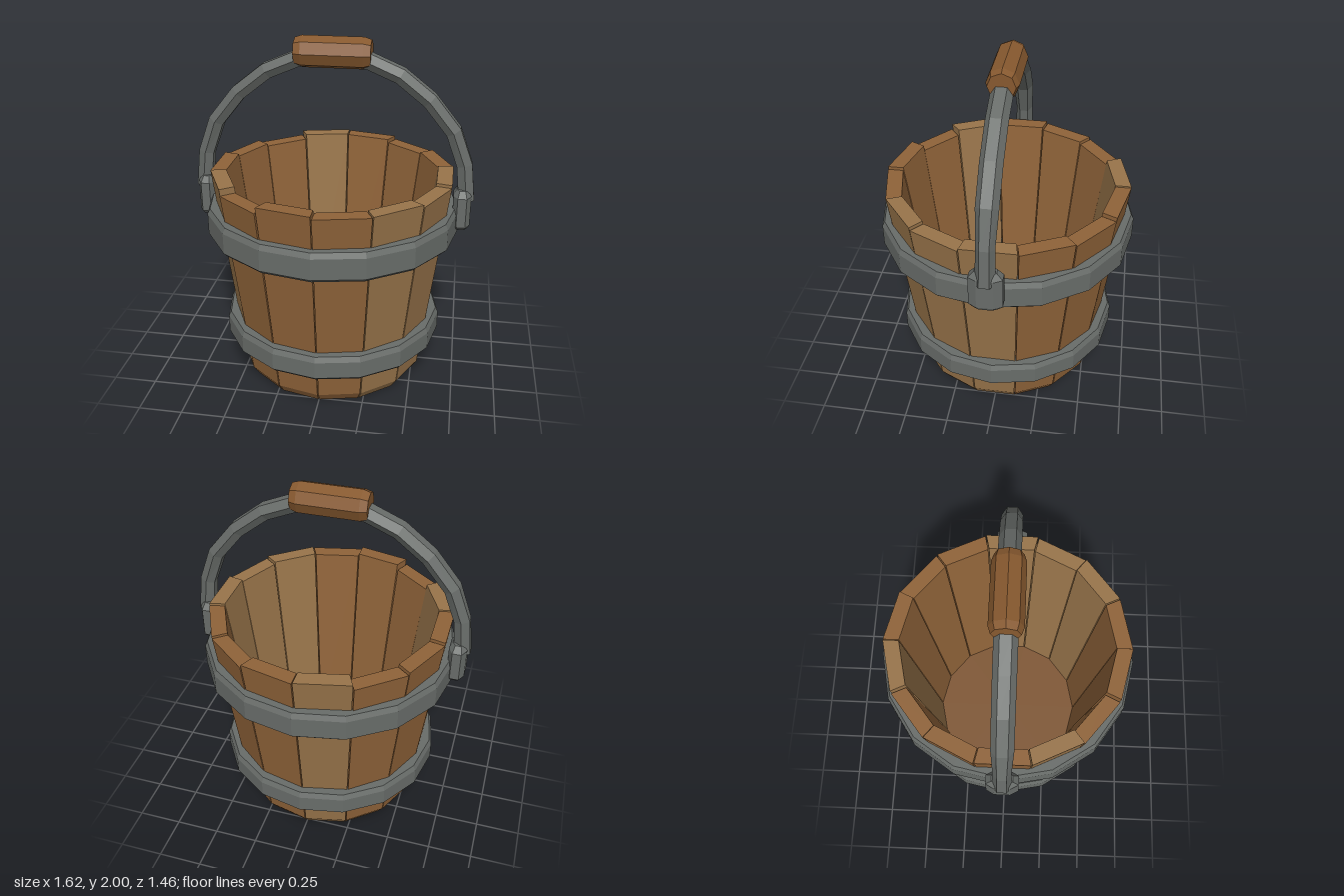
import * as THREE from 'three';

const STAVES = 14;
const mat = (color) => new THREE.MeshStandardMaterial({ color, flatShading: true });

// Skin a list of rings (equal point counts, counter-clockwise about the path) and cap both ends.
function loft(rings) {
  const pos = [];
  const n = rings[0].length;
  const tri = (a, b, c) => pos.push(...a, ...b, ...c);
  for (let i = 0; i < rings.length - 1; i++) {
    for (let j = 0; j < n; j++) {
      const k = (j + 1) % n;
      const a = rings[i][j], b = rings[i][k], c = rings[i + 1][k], d = rings[i + 1][j];
      tri(a, b, c);
      tri(a, c, d);
    }
  }
  const first = rings[0], last = rings[rings.length - 1];
  for (let j = 1; j < n - 1; j++) {
    tri(first[0], first[j + 1], first[j]);
    tri(last[0], last[j], last[j + 1]);
  }
  const geo = new THREE.BufferGeometry();
  geo.setAttribute('position', new THREE.Float32BufferAttribute(pos, 3));
  geo.computeVertexNormals();
  return geo;
}

// One tapered plank with a chamfered foot; a small gap is left at each joint.
function staveGeometry(angle, top) {
  const half = Math.PI / STAVES, gap = 0.003;
  const levels = [[0, 0.44, 0.51], [0.06, 0.452, 0.55], [top, 0.61, 0.70]];
  return loft(levels.map(([y, rin, rout]) => {
    const point = (r, side) => {
      const a = angle + side * (half - gap / r);
      return [r * Math.cos(a), y, r * Math.sin(a)];
    };
    return [point(rout, 1), point(rout, -1), point(rin, -1), point(rin, 1)];
  }));
}

// Sixteen-sided iron band with bevelled rims.
function hoopGeometry(y0, y1, r, inner) {
  const profile = [
    [inner, y0], [r - 0.02, y0], [r, y0 + 0.02],
    [r, y1 - 0.03], [r - 0.015, y1], [inner, y1], [inner, y0],
  ].map(([x, y]) => new THREE.Vector2(x, y));
  return new THREE.LatheGeometry(profile, 16);
}

// Six-sided bar swept along the arch of the handle.
function bailGeometry() {
  const half = [
    [0.765, 1.1, 0.055], [0.742, 1.31, 0.05], [0.672, 1.5, 0.06], [0.535, 1.67, 0.06],
    [0.37, 1.80, 0.06], [0.2, 1.872, 0.06],
  ];
  const path = [...half, [0, 1.9, 0.06], ...half.map(([x, y, w]) => [-x, y, w]).reverse()];
  return loft(path.map(([x, y, w], i) => {
    const p = path[Math.max(i - 1, 0)], q = path[Math.min(i + 1, path.length - 1)];
    const len = Math.hypot(q[0] - p[0], q[1] - p[1]);
    const nx = (q[1] - p[1]) / len, ny = -(q[0] - p[0]) / len;
    return Array.from({ length: 6 }, (_, j) => {
      const a = (j / 6) * Math.PI * 2;
      const out = Math.sin(a) * 0.05;
      return [x + nx * out, y + ny * out, Math.cos(a) * w];
    });
  }));
}

// Chamfered block that holds an end of the handle.
function bracketGeometry() {
  const plan = [
    [0.05, 0.045], [0.05, -0.045], [0.025, -0.09], [-0.025, -0.09],
    [-0.05, -0.045], [-0.05, 0.045], [-0.025, 0.09], [0.025, 0.09],
  ];
  const levels = [[0.94, 0.8], [0.96, 1], [1.135, 1], [1.17, 0.65]];
  return loft(levels.map(([y, s]) => plan.map(([x, z]) => [x * s, y, z * s])));
}

export function createModel() {
  const model = new THREE.Group();
  const wood = mat(0x8f6339), paleWood = mat(0x98744a), darkWood = mat(0x7f5735);
  const gripWood = mat(0x87592f), iron = mat(0x686c69);

  const add = (name, geometry, material, parent = model) => {
    const mesh = new THREE.Mesh(geometry, material);
    mesh.name = name;
    parent.add(mesh);
    return mesh;
  };

  // Staves, cut to slightly uneven heights
  const staves = new THREE.Group();
  staves.name = 'staves';
  model.add(staves);
  const tops = [1.24, 1.225, 1.24, 1.235, 1.25, 1.215, 1.25, 1.245, 1.23, 1.215, 1.245, 1.24, 1.22, 1.23];
  const pale = [0, 1, 2, 6, 10];
  tops.forEach((top, k) => {
    const angle = (k / STAVES) * Math.PI * 2;
    add('stave', staveGeometry(angle, top), pale.includes(k) ? paleWood : wood, staves);
  });

  // Floor, turned so its corners meet the joints
  const floor = add('floor', new THREE.CylinderGeometry(0.455, 0.45, 0.035, STAVES), darkWood);
  floor.position.y = 0.045;

  // Iron bands
  add('upperHoop', hoopGeometry(0.89, 1.06, 0.73, 0.65), iron);
  add('lowerHoop', hoopGeometry(0.225, 0.375, 0.645, 0.56), iron);

  // Handle with its brackets and wooden grip
  const handle = new THREE.Group();
  handle.name = 'handle';
  model.add(handle);
  add('bail', bailGeometry(), iron, handle);
  for (const side of [-1, 1]) {
    add('bracket', bracketGeometry(), iron, handle).position.x = side * 0.742;
  }
  const gripProfile = [[0, -0.21], [0.075, -0.21], [0.088, -0.17], [0.088, 0.17], [0.075, 0.21], [0, 0.21]]
    .map(([x, y]) => new THREE.Vector2(x, y));
  const grip = add('grip', new THREE.LatheGeometry(gripProfile, 8), gripWood, handle);
  grip.rotation.z = Math.PI / 2;
  grip.position.y = 1.912;

  return model;
}
